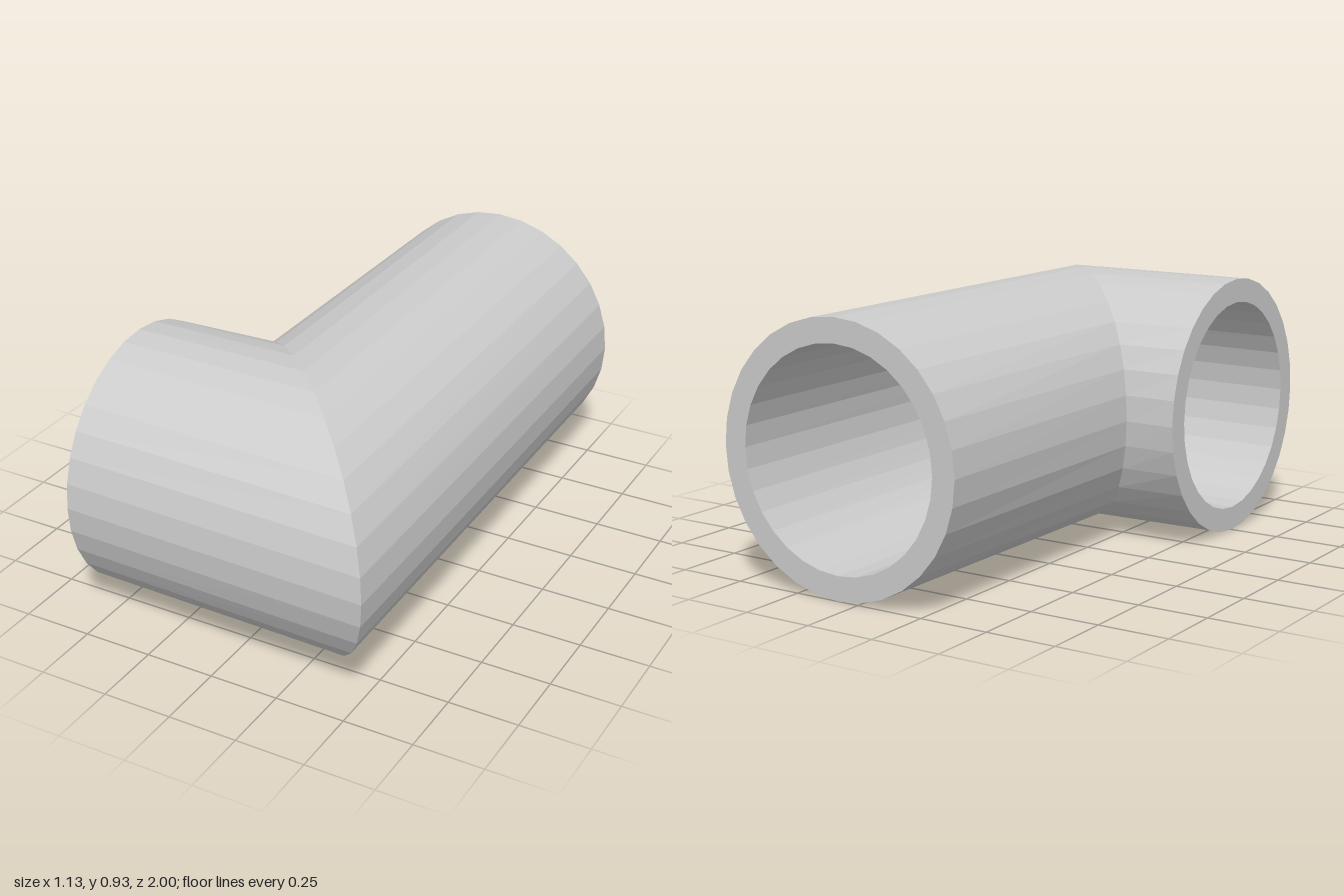
import * as THREE from 'three';

const SIDES = 32, OUTER = 0.465, INNER = 0.38;
const AXIS_X = 0.08, AXIS_Z = 0.505, AXIS_Y = OUTER;

// Ring of points; place(u, r) gives [x, z] for u running from -1 (inside of bend) to 1 (outside)
function ring(r, place) {
  return Array.from({ length: SIDES }, (_, j) => {
    const a = (j / SIDES) * Math.PI * 2;
    const [x, z] = place(Math.cos(a), r);
    return new THREE.Vector3(x, AXIS_Y + r * Math.sin(a), z);
  });
}

const sideEnd = (u, r) => [-0.565, AXIS_Z + r * u];
const backEnd = (u, r) => [AXIS_X + r * u, -1];

// Mitre plane, slightly flared on the outside and blunted at the inner corner
function mitre(u, r) {
  const k = r / OUTER;
  let dx = 0.485 * u, dz = 0.495 * u;
  if (u < -0.7) {
    const t = (-u - 0.7) / 0.3;
    dx = THREE.MathUtils.lerp(-0.3395, -0.46, t);
    dz = THREE.MathUtils.lerp(-0.3465, -0.46, t);
  }
  return [AXIS_X + k * dx, AXIS_Z + k * dz];
}

// Skin consecutive rings with flat quads
function skin(name, rings, material) {
  const pts = [];
  for (let i = 0; i < rings.length - 1; i++) {
    for (let j = 0; j < SIDES; j++) {
      const n = (j + 1) % SIDES;
      const a = rings[i][j], b = rings[i + 1][j], c = rings[i + 1][n], d = rings[i][n];
      pts.push(a, b, c, a, c, d);
    }
  }
  const geometry = new THREE.BufferGeometry().setFromPoints(pts);
  geometry.computeVertexNormals();
  const mesh = new THREE.Mesh(geometry, material);
  mesh.name = name;
  return mesh;
}

export function createModel() {
  const group = new THREE.Group();
  group.name = 'pipeElbow';
  const material = new THREE.MeshStandardMaterial({ color: 0xcccccc, flatShading: true });

  const outerMitre = ring(OUTER, mitre), innerMitre = ring(INNER, mitre);

  // Short arm: bore, open rim, outer wall
  group.add(skin('shortArm',
    [innerMitre, ring(INNER, sideEnd), ring(OUTER, sideEnd), outerMitre], material));

  // Long arm: outer wall, open rim, bore
  group.add(skin('longArm',
    [outerMitre, ring(OUTER, backEnd), ring(INNER, backEnd), innerMitre], material));

  return group;
}
